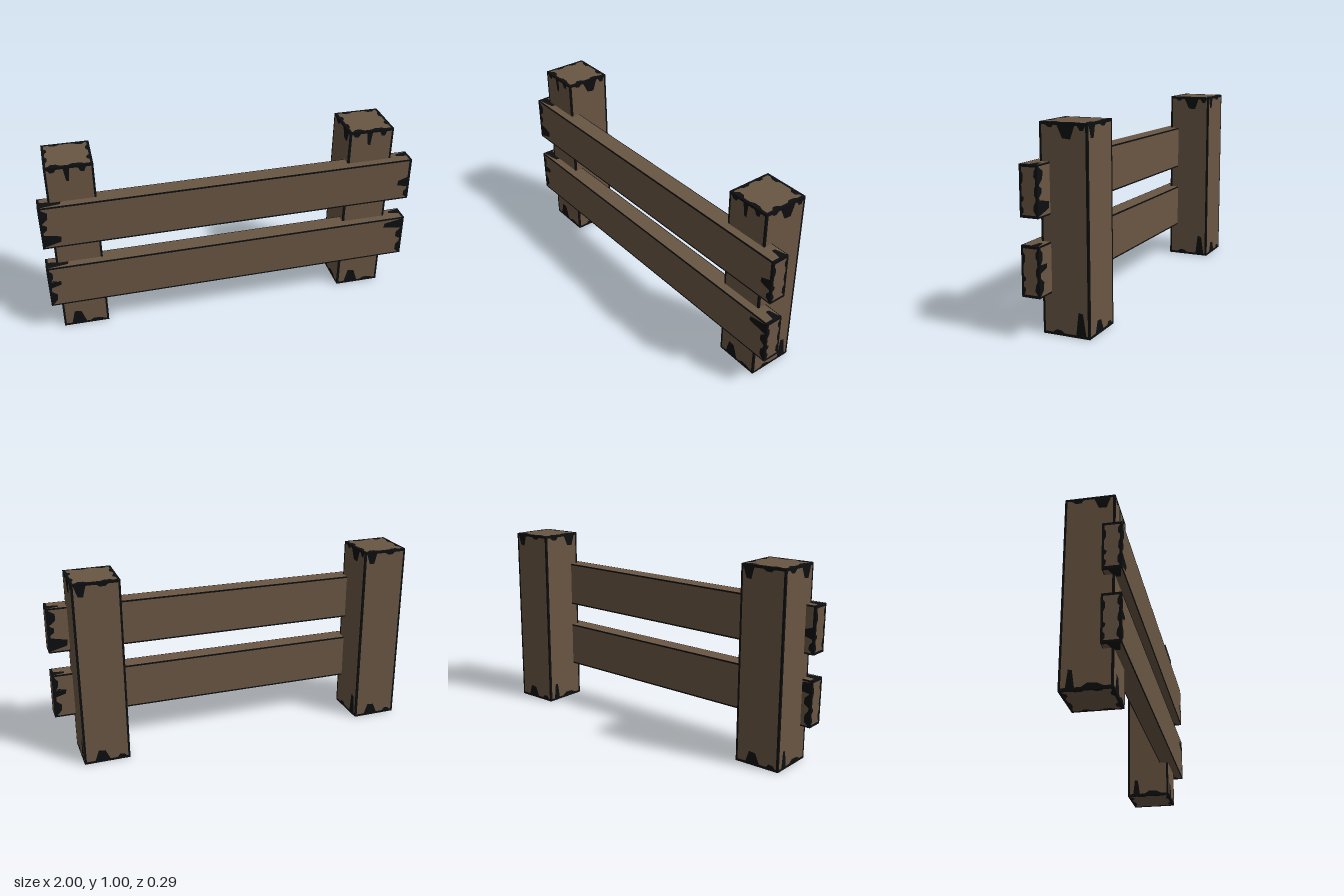
import * as THREE from 'three';
import { mergeGeometries } from 'three/addons/utils/BufferGeometryUtils.js';

const wood = new THREE.MeshStandardMaterial({ color: 0x6a5643 });
wood.name = 'brown wood';
const worn = new THREE.MeshStandardMaterial({ color: 0x0d0e10 });
worn.name = 'dark worn edge';

// Each side of a beam: how a flat face in xy is turned to sit on it
const TURN = {
  front: [0, 0], back: [0, Math.PI], right: [0, Math.PI / 2],
  left: [0, -Math.PI / 2], top: [-Math.PI / 2, 0], bottom: [Math.PI / 2, 0],
};

// Outline of the clean wood. Chips are [position, half width, depth] along the
// t(op), r(ight), b(ottom) and l(eft) edges; bu and bv are the border widths.
function cleanOutline(w, h, { bu, bv, t = [], r = [], b = [], l = [] }) {
  const W = w / 2, H = h / 2, pts = [];
  const run = (chips, border, dir, place) => {
    const sorted = [...chips].sort((p, q) => (p[0] - q[0]) * dir);
    for (const [at, half, depth] of sorted) {
      for (const [k, d] of [[-1, border], [-0.5, depth], [0.4, depth * 0.95], [1, border]]) {
        pts.push(new THREE.Vector2(...place(at + k * half * dir, d)));
      }
    }
  };
  pts.push(new THREE.Vector2(-W + bu, -H + bv));
  run(b, bv, 1, (u, d) => [u, -H + d]);
  pts.push(new THREE.Vector2(W - bu, -H + bv));
  run(r, bu, 1, (v, d) => [W - d, v]);
  pts.push(new THREE.Vector2(W - bu, H - bv));
  run(t, bv, -1, (u, d) => [u, H - d]);
  pts.push(new THREE.Vector2(-W + bu, H - bv));
  run(l, bu, -1, (v, d) => [-W + d, v]);
  return pts;
}

// A beam whose six faces are split into clean wood and a ragged dark border
function beam(name, w, h, d, faces) {
  const group = new THREE.Group();
  group.name = name;
  const clean = [], dark = [];
  for (const side in TURN) {
    const [rx, ry] = TURN[side];
    const fw = ry && side !== 'back' ? d : w;
    const fh = rx ? d : h;
    const off = rx ? h / 2 : (fw === d && ry && side !== 'back') ? w / 2 : d / 2;
    const outline = cleanOutline(fw, fh, faces[side]);
    const border = new THREE.Shape([
      new THREE.Vector2(-fw / 2, -fh / 2), new THREE.Vector2(fw / 2, -fh / 2),
      new THREE.Vector2(fw / 2, fh / 2), new THREE.Vector2(-fw / 2, fh / 2),
    ]);
    border.holes.push(new THREE.Path(outline));
    const put = (shape, list) =>
      list.push(new THREE.ShapeGeometry(shape).translate(0, 0, off).rotateX(rx).rotateY(ry));
    put(new THREE.Shape(outline), clean);
    put(border, dark);
  }
  const add = (list, material, part) => {
    const mesh = new THREE.Mesh(mergeGeometries(list), material);
    mesh.name = part;
    group.add(mesh);
  };
  add(clean, wood, name + 'Wood');
  add(dark, worn, name + 'WornEdges');
  return group;
}

export function createModel() {
  const model = new THREE.Group();
  model.name = 'fence';

  // Square posts
  const edge = { bu: 0.011, bv: 0.013 };
  const postEnd = {
    bu: 0.013, bv: 0.013,
    t: [[-0.06, 0.03, 0.025], [0.07, 0.03, 0.03]], b: [[-0.07, 0.03, 0.03], [0.04, 0.04, 0.024]],
    l: [[0.05, 0.025, 0.026], [-0.04, 0.03, 0.024]], r: [[0.05, 0.03, 0.024], [-0.05, 0.025, 0.028]],
  };
  const postFaces = {
    front: { ...edge, t: [[-0.085, 0.022, 0.03], [-0.012, 0.016, 0.085], [0.065, 0.02, 0.038]],
      b: [[-0.04, 0.04, 0.09], [0.06, 0.04, 0.025]] },
    back: { ...edge, t: [[-0.08, 0.03, 0.07], [0.03, 0.03, 0.025]],
      b: [[-0.025, 0.04, 0.07], [0.08, 0.025, 0.03]] },
    right: { ...edge, t: [[-0.07, 0.02, 0.025], [0.0125, 0.045, 0.075], [0.09, 0.02, 0.035]],
      b: [[-0.04, 0.03, 0.027], [0.077, 0.026, 0.125]] },
    left: { ...edge, t: [[-0.06, 0.03, 0.03], [0.06, 0.04, 0.07]],
      b: [[-0.07, 0.02, 0.1], [0.03, 0.05, 0.03]] },
    top: postEnd, bottom: postEnd,
  };
  for (const [name, x] of [['rightPost', -0.822], ['leftPost', 0.768]]) {
    const post = beam(name, 0.245, 1, 0.245, postFaces);
    post.position.set(x, 0.5, -0.022);
    model.add(post);
  }

  // Two slightly tilted rails across the front
  const thin = { bu: 0.013, bv: 0.004 };
  const railEnd = {
    bu: 0.011, bv: 0.013,
    l: [[0.06, 0.03, 0.02], [-0.035, 0.015, 0.022], [-0.09, 0.02, 0.02]],
    r: [[0.08, 0.025, 0.02], [0, 0.03, 0.018], [-0.075, 0.03, 0.022]],
  };
  const shared = {
    top: { ...thin, l: [[-0.015, 0.025, 0.12]], r: [[0.02, 0.02, 0.07]] },
    bottom: { ...thin, l: [[0.01, 0.03, 0.08]], r: [[-0.01, 0.03, 0.06]] },
    left: railEnd, right: railEnd,
  };
  const long = { bu: 0.014, bv: 0.008 };
  const upper = { ...long, l: [[0.07, 0.04, 0.045], [0.0, 0.025, 0.035], [-0.075, 0.036, 0.1]],
    r: [[-0.015, 0.03, 0.07], [-0.085, 0.025, 0.03]] };
  const lower = { ...long, l: [[0.07, 0.035, 0.03], [0.02, 0.025, 0.07], [-0.07, 0.04, 0.04]],
    r: [[0.083, 0.03, 0.12], [0.015, 0.035, 0.04], [-0.075, 0.04, 0.035]] };
  for (const [name, y, face] of [['upperRail', 0.689, upper], ['lowerRail', 0.317, lower]]) {
    const rail = beam(name, 1.998, 0.244, 0.094, { ...shared, front: face, back: face });
    rail.position.set(0, y, 0.098);
    rail.rotation.z = 0.009;
    model.add(rail);
  }
  return model;
}
